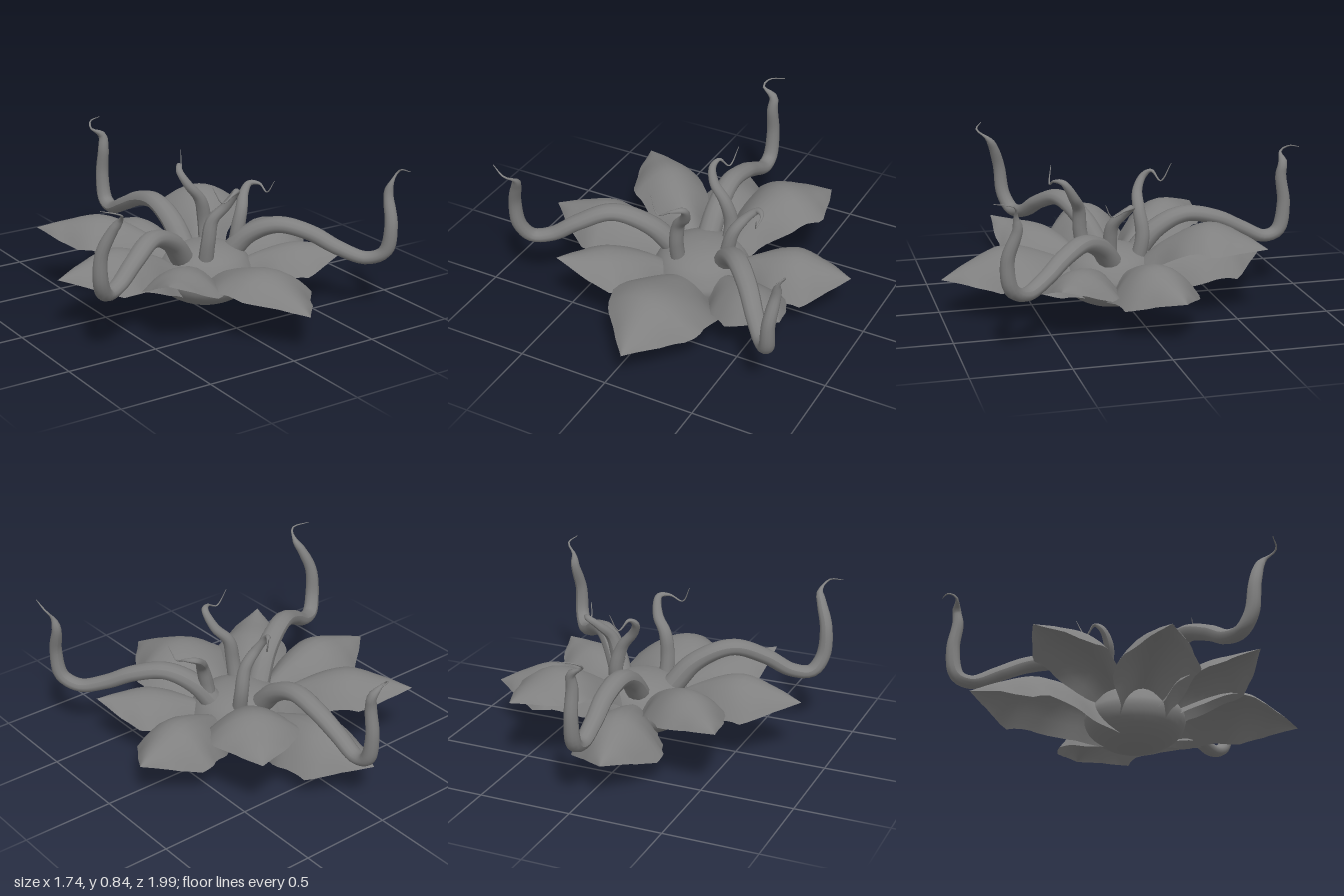
import * as THREE from 'three';

const V = (p) => new THREE.Vector3(...p);
const CENTRE = V([0.08, 0, 0.08]);
const material = new THREE.MeshStandardMaterial({ color: 0x808080, side: THREE.DoubleSide });

function add(group, name, geometry) {
  const mesh = new THREE.Mesh(geometry, material);
  mesh.name = name;
  group.add(mesh);
  return mesh;
}

// linear lookup in a small profile of [position, value] pairs
function profile(points, t) {
  let i = 1;
  while (i < points.length - 1 && t > points[i][0]) i++;
  const [a, va] = points[i - 1], [b, vb] = points[i];
  return va + (vb - va) * Math.min(1, Math.max(0, (t - a) / (b - a)));
}

// grid of (rows + 1) x (cols + 1) points turned into a smooth surface
function gridSurface(rows, cols, pointAt) {
  const pos = [], index = [];
  for (let i = 0; i <= rows; i++) {
    for (let j = 0; j <= cols; j++) pos.push(...pointAt(i / rows, j / cols).toArray());
  }
  for (let i = 0; i < rows; i++) {
    for (let j = 0; j < cols; j++) {
      const a = i * (cols + 1) + j, b = a + cols + 1;
      index.push(a, a + 1, b, a + 1, b + 1, b);
    }
  }
  const g = new THREE.BufferGeometry();
  g.setAttribute('position', new THREE.Float32BufferAttribute(pos, 3));
  g.setIndex(index);
  g.computeVertexNormals();
  return g;
}

const PETAL_WIDTH = [[0, 0.45], [0.2, 0.62], [0.38, 0.92], [0.5, 1], [0.62, 0.92], [0.78, 0.55], [0.9, 0.25], [1, 0]];
const PETAL_DROP = [[0, 0.8], [0.25, 1], [0.6, 1], [0.8, 0.45], [1, 0]];

// pointed leaf arched along its length and across its width;
// skew below 1 moves the widest part towards the base, tilt rolls the leaf
function petalGeometry({ tip, mid, half, drop, base = 0.2, skew = 1, tilt = 0 }) {
  const end = V(tip);
  const dir = end.clone().sub(CENTRE).setY(0);
  const length = dir.length() - 0.13;
  dir.normalize();
  const side = new THREE.Vector3(dir.z, 0, -dir.x);
  const at = (f, y) => CENTRE.clone().addScaledVector(dir, 0.13 + length * f).setY(y);
  const ridge = new THREE.CatmullRomCurve3([
    at(0, base), at(0.25, base * 0.4 + mid * 0.6), at(0.55, mid), at(0.8, mid * 0.55 + tip[1] * 0.45), end,
  ]);
  return gridSurface(20, 10, (u, t) => {
    const v = t * 2 - 1;
    const wavy = 1 + 0.04 * Math.sin(u * 24 + v) * Math.abs(v);
    const p = ridge.getPoint(u);
    const fall = profile(PETAL_DROP, u);
    p.addScaledVector(side, v * half * wavy * profile(PETAL_WIDTH, u ** skew));
    p.y += (tilt * v - drop * v * v) * fall;
    return p;
  });
}

// slightly flattened tube along a path, thinning to a hair at the tip
function tentacleGeometry(points, radius, taper) {
  const curve = new THREE.CatmullRomCurve3(points.map(V));
  const rows = 64, cols = 12;
  const frames = curve.computeFrenetFrames(rows);
  return gridSurface(rows, cols, (u, t) => {
    const i = Math.round(u * rows), a = -t * Math.PI * 2;
    const r = radius * profile(taper, u);
    const offset = frames.normals[i].clone().multiplyScalar(Math.cos(a) * r)
      .addScaledVector(frames.binormals[i], Math.sin(a) * r);
    offset.y *= 0.78;
    return curve.getPointAt(u).add(offset);
  });
}

const PETALS = [
  { tip: [0.10, 0.21, 1.00], mid: 0.35, half: 0.28, drop: 0.12, skew: 0.75, tilt: -0.035 },
  { tip: [0.73, 0.30, 0.49], mid: 0.33, half: 0.20, drop: 0.13 },
  { tip: [0.87, 0.23, -0.11], mid: 0.35, half: 0.23, drop: 0.18 },
  { tip: [0.51, 0.37, -0.66], mid: 0.49, half: 0.23, drop: 0.11, base: 0.24, skew: 1.1 },
  { tip: [-0.09, 0.20, -0.83], mid: 0.33, half: 0.24, drop: 0.20 },
  { tip: [-0.60, 0.36, -0.57], mid: 0.45, half: 0.20, drop: 0.13, base: 0.24 },
  { tip: [-0.83, 0.31, 0.09], mid: 0.41, half: 0.22, drop: 0.18 },
  { tip: [-0.50, 0.38, 0.63], mid: 0.37, half: 0.21, drop: 0.13 },
];

const LONG_TAPER = [[0, 1], [0.35, 0.8], [0.6, 0.64], [0.8, 0.48], [0.86, 0.36], [0.9, 0.11], [1, 0.03]];
const LONG_TENTACLES = [
  [[0.20, 0.22, 0.09], [0.29, 0.37, 0.18], [0.40, 0.44, 0.30], [0.52, 0.41, 0.43], [0.62, 0.34, 0.55],
    [0.72, 0.30, 0.67], [0.78, 0.35, 0.75], [0.795, 0.50, 0.77], [0.81, 0.66, 0.72], [0.82, 0.72, 0.73],
    [0.86, 0.78, 0.74], [0.85, 0.80, 0.84]],
  [[0.04, 0.25, -0.05], [0.035, 0.39, -0.18], [0.03, 0.46, -0.34], [0.03, 0.43, -0.52], [0.02, 0.36, -0.67],
    [0.02, 0.30, -0.81], [0.02, 0.33, -0.89], [0.02, 0.48, -0.92], [0.02, 0.64, -0.90], [0.02, 0.71, -0.91],
    [-0.05, 0.76, -0.92], [-0.03, 0.79, -0.96], [0.05, 0.80, -0.99]],
  [[-0.07, 0.26, 0.10], [-0.19, 0.41, 0.17], [-0.37, 0.49, 0.26], [-0.53, 0.43, 0.35], [-0.66, 0.35, 0.41],
    [-0.76, 0.34, 0.46], [-0.81, 0.42, 0.50], [-0.815, 0.58, 0.52], [-0.77, 0.71, 0.56], [-0.75, 0.76, 0.59],
    [-0.78, 0.81, 0.65], [-0.87, 0.835, 0.61]],
];

const SHORT_TAPER = [[0, 1], [0.3, 0.9], [0.5, 0.72], [0.68, 0.45], [0.78, 0.14], [1, 0.04]];
const SHORT_TENTACLES = [
  [[0.17, 0.24, -0.04], [0.175, 0.40, -0.07], [0.14, 0.53, -0.06], [0.07, 0.62, -0.07], [0.04, 0.69, -0.11],
    [0.06, 0.72, -0.15], [0.10, 0.67, -0.19], [0.13, 0.77, -0.24]],
  [[0.0, 0.24, 0.20], [0.0, 0.40, 0.23], [0.02, 0.52, 0.24], [0.08, 0.60, 0.28], [0.10, 0.69, 0.34],
    [0.05, 0.69, 0.38], [-0.02, 0.66, 0.39], [-0.07, 0.75, 0.37]],
  [[0.24, 0.24, 0.12], [0.26, 0.40, 0.13], [0.29, 0.50, 0.12], [0.34, 0.57, 0.07], [0.39, 0.61, 0.05],
    [0.43, 0.61, 0.09], [0.43, 0.58, 0.16], [0.45, 0.65, 0.20]],
];

export function createModel() {
  const root = new THREE.Group();
  root.name = 'tentacledFlower';

  // rounded cup below with a shallower dome on top
  const bulbProfile = [[0, 0], [0.09, 0.01], [0.18, 0.045], [0.25, 0.1], [0.275, 0.17], [0.255, 0.22],
    [0.21, 0.28], [0.13, 0.32], [0.06, 0.335], [0, 0.34]].map(([x, y]) => new THREE.Vector2(x, y));
  const bulb = add(root, 'bulb', new THREE.LatheGeometry(new THREE.SplineCurve(bulbProfile).getPoints(24)
    .map((p) => new THREE.Vector2(Math.max(0, p.x), Math.max(0, p.y))), 32));
  bulb.position.copy(CENTRE);

  // ring of petals
  const petals = new THREE.Group();
  petals.name = 'petals';
  PETALS.forEach((p, i) => add(petals, `petal${i + 1}`, petalGeometry(p)));
  root.add(petals);

  // long outer tentacles and short curling inner ones
  const tentacles = new THREE.Group();
  tentacles.name = 'tentacles';
  LONG_TENTACLES.forEach((p, i) => add(tentacles, `longTentacle${i + 1}`, tentacleGeometry(p, 0.066, LONG_TAPER)));
  SHORT_TENTACLES.forEach((p, i) => add(tentacles, `shortTentacle${i + 1}`, tentacleGeometry(p, 0.042, SHORT_TAPER)));
  root.add(tentacles);
  return root;
}
